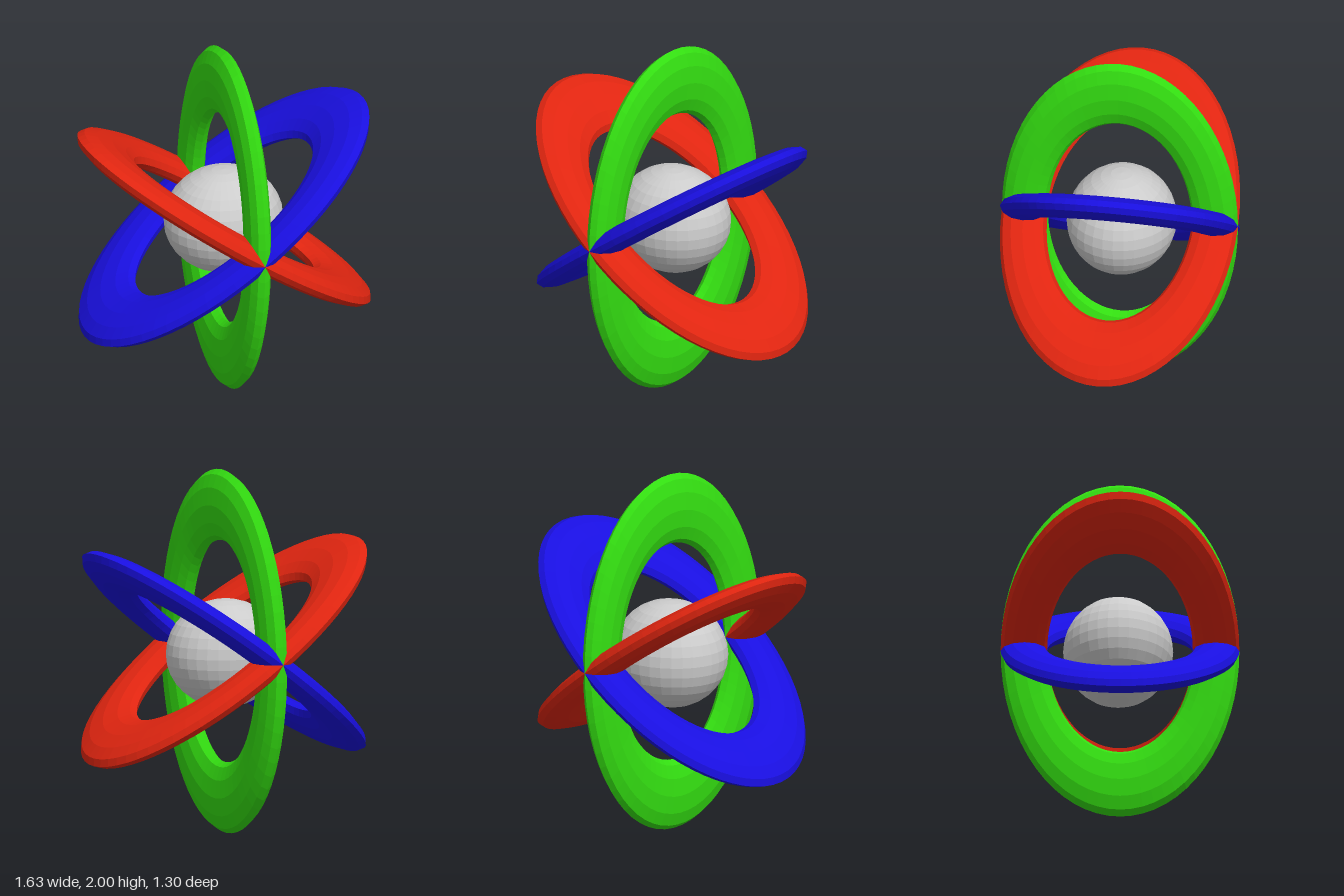
import * as THREE from 'three';

// Elliptical flattened ring: long axis along local x, short axis along z
function makeRing(name, color, degrees) {
  const geometry = new THREE.TorusGeometry(0.805, 0.195, 12, 64);
  geometry.rotateX(Math.PI / 2);
  geometry.scale(1, 0.34, 0.65);
  const ring = new THREE.Mesh(
    geometry,
    new THREE.MeshStandardMaterial({ color, flatShading: true })
  );
  ring.name = name;
  ring.position.y = 1;
  ring.rotation.z = THREE.MathUtils.degToRad(degrees);
  return ring;
}

export function createModel() {
  const model = new THREE.Group();
  model.name = 'ringedSphere';

  // Three rings fanned about the z axis, meeting at front and back
  model.add(
    makeRing('blueRing', 0x190fe0, 36),
    makeRing('greenRing', 0x33dd11, 89.3),
    makeRing('redRing', 0xe02510, 144.8)
  );

  // Slightly squashed core
  const core = new THREE.Mesh(
    new THREE.SphereGeometry(1, 32, 16),
    new THREE.MeshStandardMaterial({ color: 0xcccccc, flatShading: true })
  );
  core.name = 'coreSphere';
  core.scale.set(0.33, 0.297, 0.3);
  core.position.set(0, 0.992, -0.01);
  model.add(core);

  return model;
}
